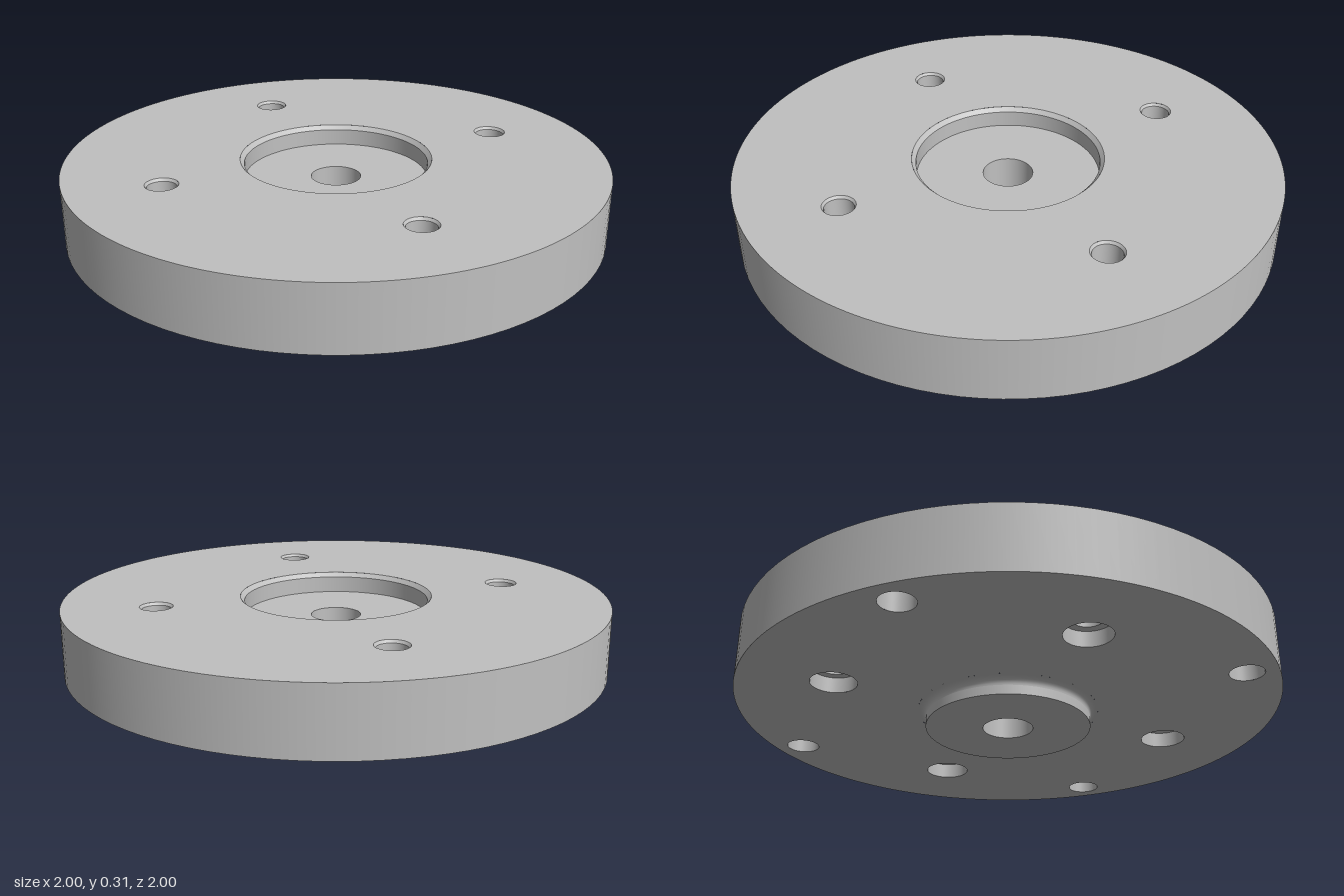
import * as THREE from 'three';
import { mergeGeometries } from 'three/addons/utils/BufferGeometryUtils.js';

const SEGMENTS = 96;
const BOTTOM = 0.065, TOP = 0.305, FLOOR = 0.228;   // disc underside, disc top, recess floor
const BORE = 0.0925, HUB = 0.305, FILLET = 0.03, RECESS = 0.355;
const BOLT = 0.06, COUNTERBORE = 0.084, BLIND = 0.062;

// Turned surface with a sharp edge at each profile point; the solid lies left of the path
function turned(points) {
  const bands = [];
  for (let i = 0; i < points.length - 1; i++) {
    const pair = [points[i], points[i + 1]].map(([r, y]) => new THREE.Vector2(r, y));
    bands.push(new THREE.LatheGeometry(pair, SEGMENTS));
  }
  return mergeGeometries(bands);
}

// Flat ring with round holes, facing up or down
function flatFace(y, inner, holes, up) {
  const shape = new THREE.Shape().absarc(0, 0, 1, 0, Math.PI * 2);
  for (const [x, z, r] of [[0, 0, inner], ...holes]) {
    shape.holes.push(new THREE.Path().absarc(x, z, r, 0, Math.PI * 2, true));
  }
  return new THREE.ShapeGeometry(shape, SEGMENTS)
    .rotateX(up ? -Math.PI / 2 : Math.PI / 2)
    .translate(0, y, 0);
}

export function createModel() {
  const group = new THREE.Group();
  const metal = new THREE.MeshStandardMaterial({ color: 0xc0c0c0 });
  metal.name = 'plain metal';

  const add = (name, geometry, x = 0, z = 0) => {
    const mesh = new THREE.Mesh(geometry, metal);
    mesh.name = name;
    mesh.position.set(x, 0, z);
    group.add(mesh);
  };

  // Four bolt holes on the diagonals, four blind holes on the axes
  const bolts = [], blinds = [];
  for (let i = 0; i < 4; i++) {
    const a = i * Math.PI / 2, d = a + Math.PI / 4;
    bolts.push([0.665 * Math.cos(d), 0.665 * Math.sin(d)]);
    blinds.push([0.89 * Math.cos(a), 0.89 * Math.sin(a)]);
  }

  // Disc
  add('discRim', turned([[1, BOTTOM], [1, TOP]]));
  add('discTop', flatFace(TOP, RECESS, bolts.map(([x, z]) => [x, z, BOLT]), true));
  add('discUnderside', flatFace(BOTTOM, HUB + FILLET, [
    ...bolts.map(([x, z]) => [x, z, COUNTERBORE]),
    ...blinds.map(([x, z]) => [x, z, BLIND]),
  ], false));

  // Hub under the disc, blended into it by a concave fillet
  add('hub', turned([[BORE, 0], [HUB, 0], [HUB, BOTTOM - FILLET]]));
  const arc = [];
  for (let i = 0; i <= 8; i++) {
    const a = Math.PI - i * Math.PI / 16;
    arc.push(new THREE.Vector2(
      HUB + FILLET + FILLET * Math.cos(a),
      BOTTOM - FILLET + FILLET * Math.sin(a)));
  }
  add('hubFillet', new THREE.LatheGeometry(arc, SEGMENTS));

  // Chamfered recess and centre bore
  add('recess', turned([
    [RECESS, TOP], [0.34, TOP - 0.016], [0.34, FLOOR], [BORE, FLOOR],
  ]));
  add('centreBore', turned([[BORE, FLOOR], [BORE, 0]]));

  // Bolt holes: chamfered on top, counterbored underneath
  const boltHole = turned([
    [BOLT, TOP], [0.053, TOP - 0.01], [0.053, BOTTOM + 0.058],
    [COUNTERBORE, BOTTOM + 0.058], [COUNTERBORE, BOTTOM],
  ]);
  for (const [x, z] of bolts) add('boltHole', boltHole, x, z);

  // Blind holes in the underside
  const blindHole = turned([[0, 0.185], [BLIND, 0.185], [BLIND, BOTTOM]]);
  for (const [x, z] of blinds) add('blindHole', blindHole, x, z);

  return group;
}
